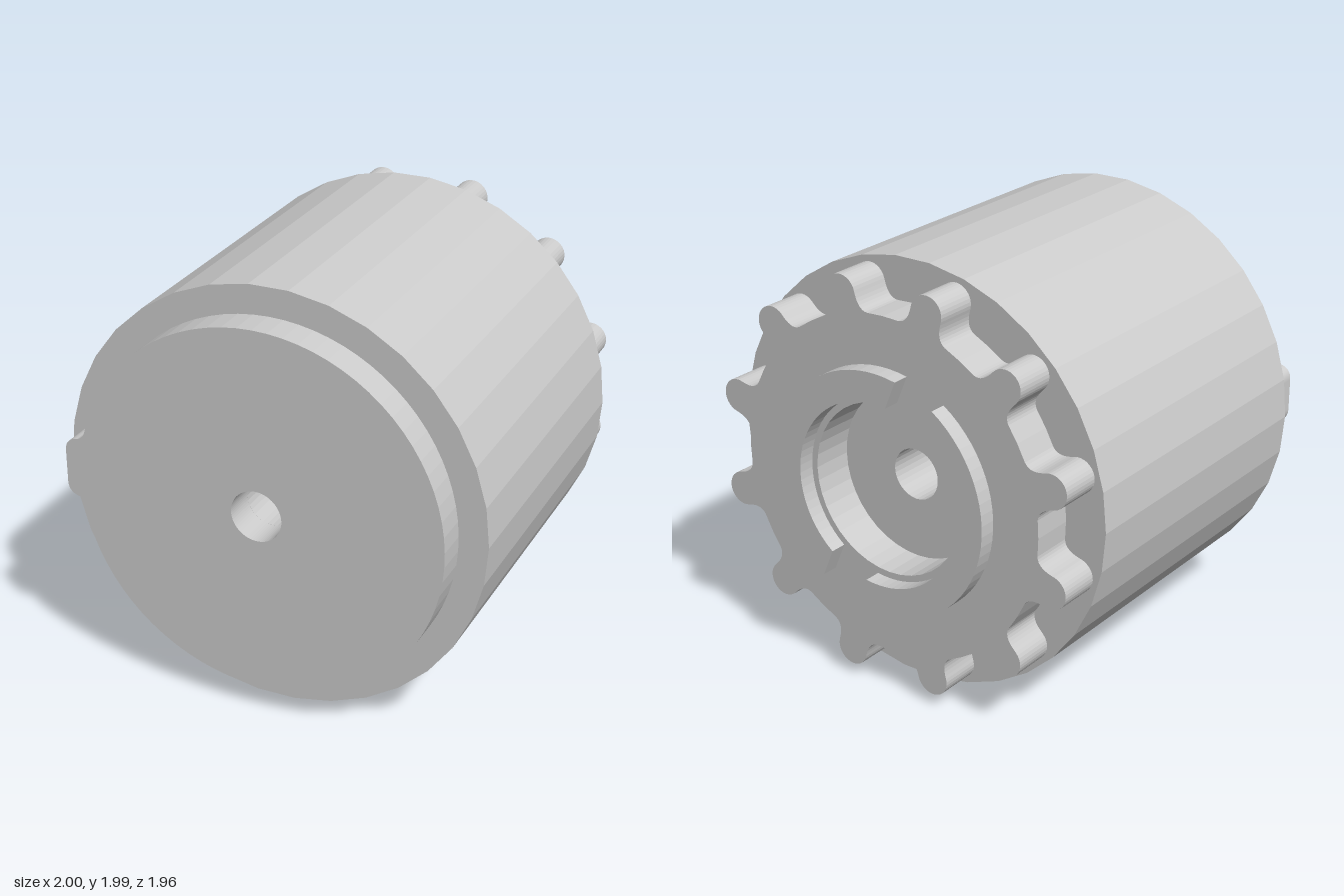
import * as THREE from 'three';

const material = new THREE.MeshStandardMaterial({ color: 0xcccccc, flatShading: true });
const BORE = 0.12;

// Circular hole path
function hole(r) {
  return new THREE.Path().absarc(0, 0, r, 0, Math.PI * 2, true);
}

// Extrude a shape (drawn around the axis) from z0 to z1
function slab(name, shape, z0, z1, curveSegments = 16) {
  const geometry = new THREE.ExtrudeGeometry(shape, { depth: z1 - z0, bevelEnabled: false, curveSegments });
  const mesh = new THREE.Mesh(geometry, material);
  mesh.name = name;
  mesh.position.z = z0;
  return mesh;
}

// Faceted drum with a through bore
function drumShape(sides) {
  const pts = [];
  for (let i = 0; i < sides; i++) {
    const a = (i / sides) * Math.PI * 2;
    pts.push(new THREE.Vector2(Math.cos(a), Math.sin(a)));
  }
  const shape = new THREE.Shape(pts);
  shape.holes.push(hole(BORE));
  return shape;
}

// Round plate with a rounded key on its -x side
function plateShape() {
  const r = 0.865, top = THREE.MathUtils.degToRad(164.6), bottom = THREE.MathUtils.degToRad(-170.5);
  const s = new THREE.Shape();
  s.absarc(0, 0, r, bottom, top, false);
  s.quadraticCurveTo(-0.845, 0.195, -0.875, 0.188);
  s.quadraticCurveTo(-0.935, 0.18, -0.935, 0.12);
  s.lineTo(-0.935, -0.03);
  s.quadraticCurveTo(-0.935, -0.09, -0.875, -0.098);
  s.quadraticCurveTo(-0.845, -0.105, r * Math.cos(bottom), r * Math.sin(bottom));
  s.holes.push(hole(BORE));
  return s;
}

// Wheel with rounded knobs, filleted into the root circle
function knobWheelShape(count, root, centre, knob, holeRadius) {
  const tooth = new THREE.Path();
  const foot = 0.14, footR = Math.sqrt(root * root - foot * foot);
  tooth.moveTo(footR, -foot);
  tooth.quadraticCurveTo(root - 0.005, -knob, centre - 0.015, -knob);
  tooth.absarc(centre, 0, knob, -Math.PI / 2, Math.PI / 2, false);
  tooth.lineTo(centre - 0.015, knob);
  tooth.quadraticCurveTo(root - 0.005, knob, footR, foot);
  const profile = tooth.getPoints(8);
  const pts = [];
  for (let i = 0; i < count; i++) {
    const a = ((i + 0.5) / count) * Math.PI * 2;
    profile.forEach(p => pts.push(p.clone().rotateAround(new THREE.Vector2(), a)));
    // middle of the valley after this knob
    const v = a + Math.PI / count;
    pts.push(new THREE.Vector2(root * Math.cos(v), root * Math.sin(v)));
  }
  const shape = new THREE.Shape(pts);
  shape.holes.push(hole(holeRadius));
  return shape;
}

// Half ring whose ends leave a parallel slot along direction `mid`
function ringSegmentShape(outer, inner, mid, slot) {
  const ao = Math.asin(slot / 2 / outer), ai = Math.asin(slot / 2 / inner);
  const s = new THREE.Shape();
  s.absarc(0, 0, outer, mid + ao, mid + Math.PI - ao, false);
  s.absarc(0, 0, inner, mid + Math.PI - ai, mid + ai, true);
  return s;
}

export function createModel() {
  const model = new THREE.Group();
  model.name = 'knob';
  const parts = new THREE.Group();
  parts.name = 'turnedParts';
  parts.position.y = 1;
  model.add(parts);

  parts.add(slab('drum', drumShape(34), -0.7, 0.825));
  parts.add(slab('keyedPlate', plateShape(), 0.825, 0.98, 36));
  parts.add(slab('knobWheel', knobWheelShape(12, 0.8, 0.89, 0.08, 0.4), -0.9, -0.7, 20));

  // Two raised arcs on the back
  const mid = THREE.MathUtils.degToRad(113);
  for (const [name, turn] of [['leftArc', Math.PI], ['rightArc', 0]]) {
    parts.add(slab(name, ringSegmentShape(0.57, 0.43, mid + turn, 0.21), -0.98, -0.9));
  }
  return model;
}
